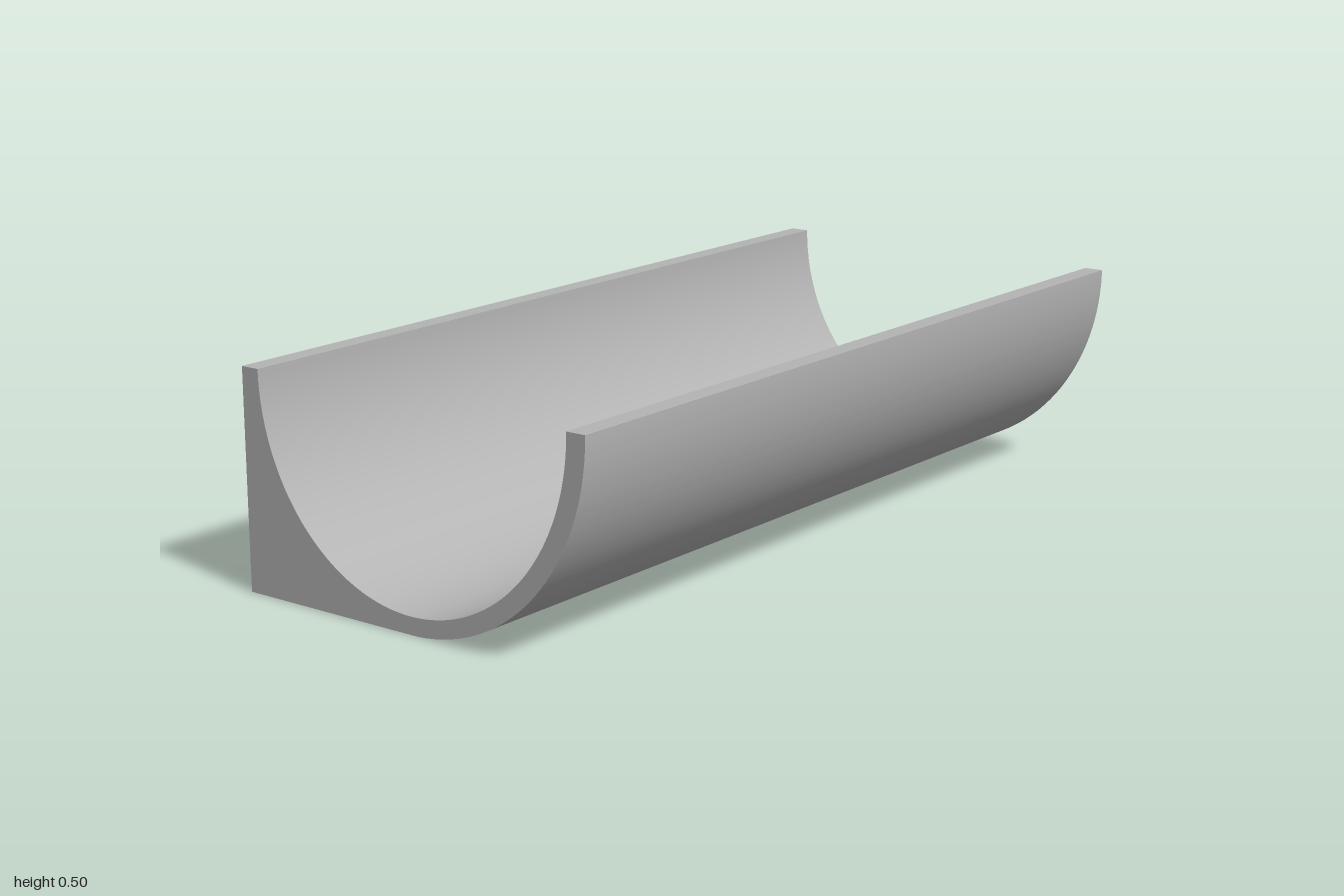
import * as THREE from 'three';
import { toCreasedNormals } from 'three/addons/utils/BufferGeometryUtils.js';

export function createModel() {
  const grey = new THREE.MeshStandardMaterial({ color: 0xb4b4b4 });
  grey.name = 'grey';

  const length = 2, height = 0.5;
  const outerX = 0.47, outerY = 0.5; // outer ellipse radii
  const innerX = 0.423, innerY = 0.46; // channel ellipse radii

  // Cross-section: square block on -x, curved wall on +x, open half-ellipse channel
  const profile = new THREE.Shape();
  profile.moveTo(-outerX, height);
  profile.lineTo(-outerX, 0);
  profile.lineTo(0, 0);
  profile.absellipse(0, height, outerX, outerY, -Math.PI / 2, 0, false);
  profile.lineTo(innerX, height);
  profile.absellipse(0, height, innerX, innerY, 0, -Math.PI, true);
  profile.closePath();

  // Extrude along z, smooth on the curves and sharp at the edges
  const extruded = new THREE.ExtrudeGeometry(profile, {
    depth: length, bevelEnabled: false, curveSegments: 48,
  });
  extruded.translate(0, 0, -length / 2);
  const trough = new THREE.Mesh(toCreasedNormals(extruded, Math.PI / 6), grey);
  trough.name = 'troughChannel';

  const group = new THREE.Group();
  group.name = 'trough';
  group.add(trough);
  return group;
}
